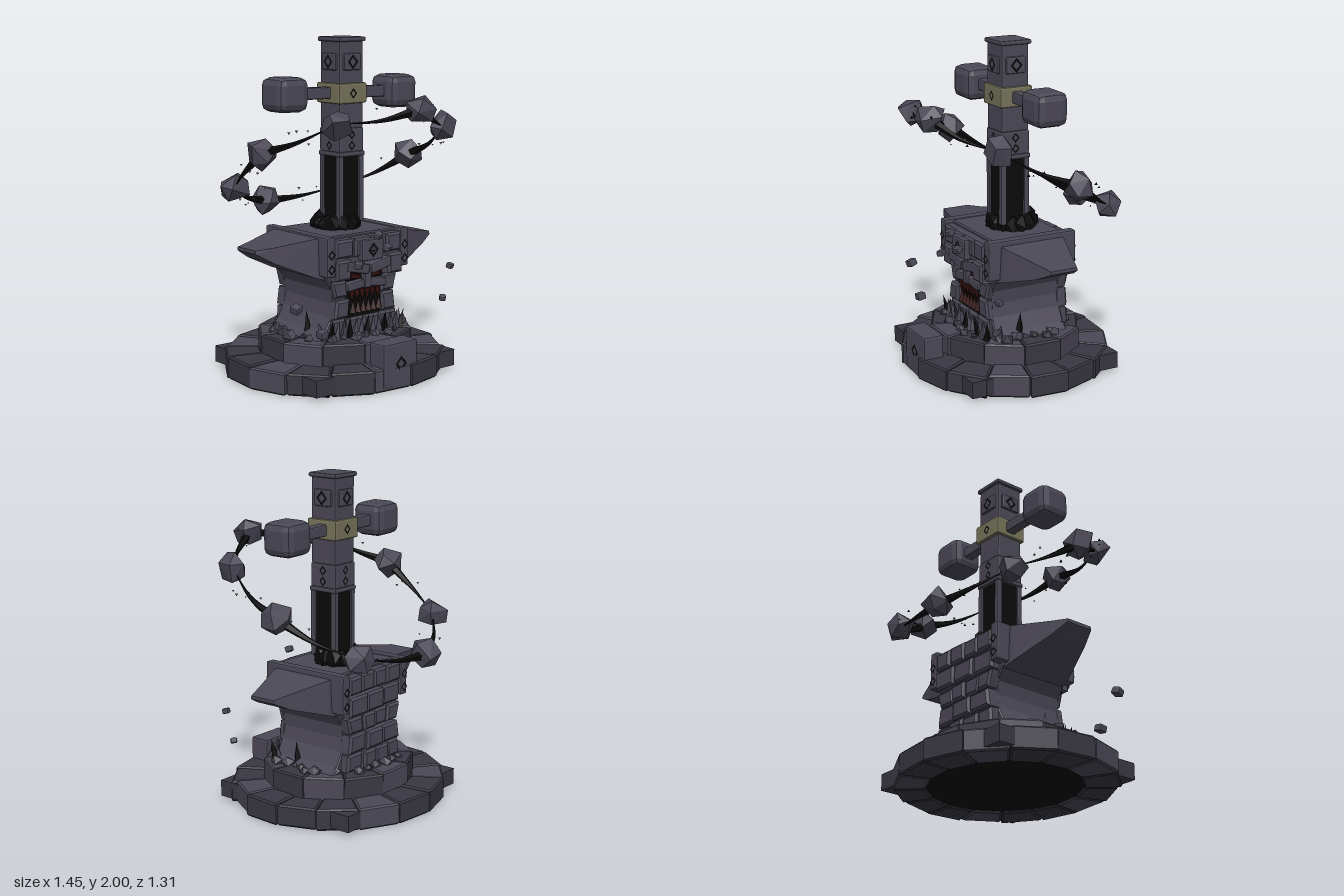
import * as THREE from 'three';
import { RoundedBoxGeometry } from 'three/addons/geometries/RoundedBoxGeometry.js';
import { ConvexGeometry } from 'three/addons/geometries/ConvexGeometry.js';

const V = (x, y, z) => new THREE.Vector3(x, y, z);
const mat = (color, side = THREE.FrontSide) => new THREE.MeshStandardMaterial({ color, side, flatShading: true });
const CX = -0.025; // anvil centre line

export function createModel() {
  const root = new THREE.Group();
  const stone = mat(0x4b4856), dark = mat(0x393742), black = mat(0x0b0b0c, THREE.DoubleSide), gold = mat(0x77745a), red = mat(0x33110f);
  let seed = 7;
  const rnd = (a = 0, b = 1) => {
    seed = (seed * 16807) % 2147483647;
    return a + (b - a) * seed / 2147483647;
  };

  const add = (name, geo, m, x = 0, y = 0, z = 0, parent = root) => {
    const mesh = new THREE.Mesh(geo, m);
    mesh.name = name;
    mesh.position.set(x, y, z);
    parent.add(mesh);
    return mesh;
  };
  const group = (name) => {
    const g = new THREE.Group();
    g.name = name;
    root.add(g);
    return g;
  };
  const box = (name, w, h, d, x, y, z, m = stone, parent = root, r = 0.01) =>
    add(name, new RoundedBoxGeometry(w, h, d, 1, r), m, x, y, z, parent);
  // bevelled polygon prism running from z = 0 to z = depth
  const prism = (pts, depth, b = 0.008) => {
    const geo = new THREE.ExtrudeGeometry(new THREE.Shape(pts.map(p => new THREE.Vector2(...p))),
      { depth: depth - 2 * b, bevelThickness: b, bevelSize: b, bevelOffset: -b, bevelSegments: 1 });
    return geo.translate(0, 0, b);
  };
  const rock = (r, n = 14) => {
    const pts = [];
    for (let i = 0; i < n; i++) {
      const y = 1 - 2 * (i + 0.5) / n, a = i * 2.4 + rnd(-0.3, 0.3), s = Math.sqrt(1 - y * y), k = r * rnd(0.88, 1.14);
      pts.push(V(Math.cos(a) * s * k, y * k, Math.sin(a) * s * k));
    }
    return new ConvexGeometry(pts);
  };
  const diamond = (s, x, y, z, turn = 0, parent = root) => {
    const shape = new THREE.Shape([[0, -s], [s * 0.9, 0], [0, s], [-s * 0.9, 0]].map(p => new THREE.Vector2(...p)));
    const k = s * 0.55;
    shape.holes.push(new THREE.Path([[0, -k], [-k * 0.9, 0], [0, k], [k * 0.9, 0]].map(p => new THREE.Vector2(...p))));
    const m = add('diamondMark', new THREE.ShapeGeometry(shape), black, x, y, z, parent);
    m.rotation.y = turn;
    return m;
  };

  // Stepped base: two rings of uneven wedge blocks over a square slab
  const base = group('base');
  const ringOf = (name, n, r0, r1, y0, y1, phase, m) => {
    for (let i = 0; i < n; i++) {
      const step = Math.PI * 2 / n, a0 = phase + i * step + 0.004, a1 = a0 + step - 0.008;
      const ra = r1 * rnd(0.97, 1.02), top = y1 - rnd(0, 0.012);
      const geo = prism([[a0, r0], [a0, ra], [a1, ra * rnd(0.98, 1.02)], [a1, r0]]
        .map(([a, r]) => [Math.cos(a) * r * 1.07, Math.sin(a) * r]), top - y0, 0.01);
      add(name, geo.rotateX(-Math.PI / 2), m[i % m.length], -0.05, y0, 0, base);
    }
  };
  ringOf('outerBaseBlock', 16, 0.44, 0.635, 0, 0.14, 0.1, [dark, dark, stone]);
  ringOf('innerBaseBlock', 12, 0.27, 0.455, 0.11, 0.26, 0.25, [stone, dark]);
  add('baseCore', new THREE.CylinderGeometry(0.42, 0.46, 0.2, 24), dark, -0.05, 0.13, 0, base);
  add('baseUnderside', new THREE.CircleGeometry(0.5, 32).rotateX(Math.PI / 2), black, -0.05, 0.012, 0, base);
  add('groundSlab', new THREE.BoxGeometry(1.07, 0.1, 0.99), dark, -0.055, 0.07, 0.005, base);
  box('frontPlinth', 0.26, 0.26, 0.13, -0.055, 0.145, 0.545, stone, base, 0.012);
  diamond(0.048, -0.055, 0.15, 0.613, 0, base);
  for (let i = 0; i < 34; i++) {
    const a = i * Math.PI * 2 / 34, r = rnd(0.32, 0.4);
    add('rubble', rock(rnd(0.02, 0.045), 9), i % 3 ? stone : dark, -0.04 + Math.cos(a) * r * 1.08, 0.265, Math.sin(a) * r * 0.9, base);
  }

  // Anvil core, a concave front profile
  const anvil = group('anvil');
  const profile = [[0.25, 0.34], [0.3, 0.285], [0.38, 0.24], [0.46, 0.225], [0.54, 0.235], [0.62, 0.285], [0.86, 0.3]];
  const halfWidth = (y) => {
    for (let i = 1; i < profile.length; i++) {
      const [y0, w0] = profile[i - 1], [y1, w1] = profile[i];
      if (y <= y1) return w0 + (w1 - w0) * (y - y0) / (y1 - y0);
    }
    return 0.3;
  };
  const outline = [...profile.map(([y, w]) => [CX + w, y]), ...profile.slice().reverse().map(([y, w]) => [CX - w, y])];
  add('anvilCore', prism(outline, 0.47), stone, 0, 0, -0.235, anvil);

  // Large stone courses on the front and back, leaving the face open
  const courses = [0.26, 0.37, 0.49, 0.6, 0.73, 0.85];
  for (const front of [true, false]) for (let j = 0; j < 5; j++) {
    const n = j % 2 ? 3 : 4, shift = rnd(-0.06, 0.06);
    for (let i = 0; i < n; i++) {
      const edge = (k) => k === 0 ? -1 : k === n ? 1 : -1 + 2 * k / n + shift;
      let u0 = edge(i), u1 = edge(i + 1);
      if (front && j > 0 && j < 4) {
        if (i !== 0 && i !== n - 1) continue;
        [u0, u1] = i === 0 ? [-1, -0.56] : [0.56, 1];
      }
      const y0 = courses[j] + 0.003, y1 = courses[j + 1] - 0.003 - rnd(0, 0.008);
      const at = (u, y) => [CX + u * Math.min(halfWidth(y), 0.255) + (u < 0 ? 0.003 : -0.003), y];
      const depth = (front && j < 3 ? 0.055 : 0.09) + rnd(-0.012, 0.012);
      add(front ? 'frontBrick' : 'backBrick', prism([at(u0, y0), at(u1, y0), at(u1, y1), at(u0, y1)], depth, 0.014),
        stone, 0, 0, front ? 0.21 : -0.21 - depth, anvil);
    }
  }

  // Shoulder bands with their marks, and the two horns
  for (const x of [-0.308, 0.257]) {
    box('shoulderBand', 0.062, 0.235, 0.59, x, 0.75, -0.005, stone, anvil);
    for (const y of [0.765, 0.68]) for (const s of [1, -1]) diamond(0.032, x, y, -0.005 + s * 0.298, 0, anvil);
  }
  const horn = (name, sections) => {
    const geo = new THREE.BoxGeometry(2, 2, 2, 3, 1, 1), p = geo.attributes.position;
    for (let i = 0; i < p.count; i++) {
      const [x, lo, hi, half] = sections[Math.round((p.getX(i) + 1) * 1.5)];
      const up = p.getY(i) > 0;
      p.setXYZ(i, x, up ? hi : lo, p.getZ(i) * half * (up ? 0.95 : 1));
    }
    add(name, geo, stone, 0, 0, 0, anvil);
  };
  // each section: x, underside, top, half depth
  horn('leftHorn', [[0.2, 0.59, 0.845, 0.225], [0.31, 0.625, 0.835, 0.215], [0.55, 0.7, 0.79, 0.125], [0.65, 0.75, 0.77, 0.09]]);
  horn('rightHorn', [[-0.7, 0.79, 0.81, 0.09], [-0.6, 0.73, 0.82, 0.13], [-0.36, 0.625, 0.855, 0.215], [-0.25, 0.59, 0.86, 0.225]]);

  // Face: plaque, brows, narrow eyes, nose and jagged mouth
  const face = group('face');
  box('foreheadPlaque', 0.165, 0.125, 0.05, CX, 0.77, 0.305, stone, face);
  diamond(0.045, CX, 0.77, 0.332, 0, face);
  add('foreheadGem', new THREE.OctahedronGeometry(0.014), black, CX, 0.77, 0.33, face);
  for (const s of [-1, 1]) {
    box('brow', 0.17, 0.06, 0.09, CX + s * 0.09, 0.668, 0.265, stone, face).rotation.z = s * 0.22;
    box('eyeSocket', 0.13, 0.06, 0.03, CX + s * 0.085, 0.612, 0.23, black, face);
    add('eye', prism([[0.03, 0], [0.11, 0.005], [0.12, 0.045], [0.035, 0.022]].map(([x, y]) => [s * x, y]), 0.03, 0.004),
      red, CX, 0.592, 0.235, face);
    box('cheek', 0.13, 0.05, 0.06, CX + s * 0.085, 0.558, 0.25, stone, face).rotation.z = -s * 0.12;
  }
  box('nose', 0.05, 0.1, 0.07, CX, 0.585, 0.255, stone, face);
  box('mouthHollow', 0.27, 0.23, 0.03, CX, 0.425, 0.23, black, face);
  for (let i = 0; i < 6; i++) for (const s of [-1, 1]) {
    const t = add('redTooth', new THREE.ConeGeometry(0.026, 0.075, 4), red, CX - 0.1 + i * 0.04 + (s > 0 ? 0.008 : 0), 0.462 - s * 0.032, 0.255, face);
    t.rotation.z = s > 0 ? 0 : Math.PI;
  }

  // Spikes bristling round the foot of the anvil
  for (let i = 0; i < 13; i++) {
    const sp = add('frontSpike', new THREE.ConeGeometry(0.026, rnd(0.09, 0.15), 4), i % 3 ? stone : black, CX - 0.27 + i * 0.045, 0.315, 0.28, face);
    sp.rotation.set(0.1, rnd(0, 1), rnd(-0.25, 0.25));
  }
  for (const s of [-1, 1]) {
    add('sideSpike', new THREE.ConeGeometry(0.03, 0.14, 4), black, CX + s * 0.29, 0.335, 0.07, face).rotation.z = -s * 0.1;
    add('sideStone', new THREE.ConeGeometry(0.035, 0.12, 4), stone, CX + s * 0.3, 0.3, 0.21, face).rotation.z = -s * 0.25;
  }

  // Square pillar rising from dark rubble
  const pillar = group('pillar');
  pillar.position.set(0.003, 0, 0.005);
  const block = (name, w, y0, y1, m = stone) => box(name, w, y1 - y0, w, 0, (y0 + y1) / 2, 0, m, pillar);
  block('pillarCap', 0.206, 1.972, 2);
  block('pillarTop', 0.18, 1.72, 1.98);
  block('goldCollar', 0.214, 1.61, 1.73, gold);
  block('pillarMiddle', 0.18, 1.46, 1.62);
  block('pillarMarkedBlock', 0.188, 1.32, 1.465);
  block('pillarLip', 0.2, 1.295, 1.325);
  block('pillarDarkShaft', 0.165, 0.84, 1.3, black);
  for (const x of [-1, 1]) for (const z of [-1, 1]) box('pillarEdge', 0.035, 0.4, 0.035, x * 0.077, 1.1, z * 0.077, stone, pillar, 0.006);
  box('sidePlates', 0.206, 0.1, 0.13, 0, 1.855, 0, stone, pillar);
  box('facePlates', 0.13, 0.1, 0.206, 0, 1.855, 0, stone, pillar);
  for (let k = 0; k < 4; k++) {
    const a = k * Math.PI / 2;
    for (const [s, y, d] of [[0.045, 1.855, 0.105], [0.032, 1.67, 0.109], [0.03, 1.425, 0.0955], [0.03, 1.36, 0.0955]])
      diamond(s, Math.sin(a) * d, y, Math.cos(a) * d, a, pillar);
  }
  for (let i = 0; i < 13; i++) {
    const a = i * Math.PI * 2 / 13;
    const r = add('blackRubble', rock(rnd(0.045, 0.062), 10), black, -0.015 + Math.cos(a) * 0.115, 0.89, -0.03 + Math.sin(a) * 0.105, pillar);
    r.scale.y = rnd(1, 1.9);
  }

  // Crossbar with a chamfered hammer head at each end
  const crossbar = group('crossbar');
  crossbar.position.set(0, 1.67, 0);
  crossbar.rotation.z = -0.02;
  box('bar', 0.8, 0.07, 0.065, 0, 0, 0, stone, crossbar);
  for (const s of [-1, 1]) box('hammerHead', 0.215, 0.2, 0.208, s * 0.42, 0, 0.002, stone, crossbar, 0.045);

  // Tilted halo of floating rocks joined by tapering wisps
  const halo = group('halo');
  const spots = [[-0.64, 1.36, 0.07], [-0.39, 1.54, 0.44], [0.11, 1.6, 0.57], [0.51, 1.46, 0.34],
    [0.63, 1.24, -0.1], [0.37, 1.02, -0.47], [-0.14, 0.96, -0.57], [-0.53, 1.11, -0.35]].map(p => V(...p));
  spots.forEach((p, i) => {
    const r = add('floatingRock', rock(0.094, 11), stone, p.x, p.y, p.z, halo);
    r.rotation.set(rnd(0, 3), rnd(0, 3), 0);
    const q = spots[(i + 1) % spots.length], mid = p.clone().lerp(q, 0.5);
    mid.x *= 1.05; mid.z *= 1.05; mid.y -= 0.02;
    const curve = new THREE.CatmullRomCurve3([p, mid, q]);
    const geo = new THREE.TubeGeometry(curve, 18, 0.032, 5), pos = geo.attributes.position, v = V();
    for (let k = 0; k < pos.count; k++) {
      const t = Math.floor(k / 6) / 18, c = curve.getPointAt(t);
      const w = 0.08 + 0.92 * Math.pow(i % 2 ? t : 1 - t, 1.6);
      v.fromBufferAttribute(pos, k).sub(c).multiplyScalar(w).add(c);
      pos.setXYZ(k, v.x, v.y, v.z);
    }
    add('wisp', geo, black, 0, 0, 0, halo);
    for (let k = 0; k < 5; k++) {
      const c = curve.getPoint(rnd(0.1, 0.9));
      add('blackChip', new THREE.TetrahedronGeometry(rnd(0.006, 0.012)), black, c.x + rnd(-0.05, 0.05), c.y + rnd(-0.05, 0.08), c.z + rnd(-0.05, 0.05), halo);
    }
  });

  // Loose pebbles hovering in front of the anvil
  for (const [x, y, z, s] of [[-0.62, 0.51, 0.36, 0.055], [-0.45, 0.34, 0.38, 0.055], [0.56, 0.605, 0.37, 0.04], [0.51, 0.41, 0.36, 0.04],
    [-0.03, 0.865, 0.38, 0.045], [0.05, 0.78, 0.37, 0.045], [-0.17, 0.7, 0.37, 0.045]]) {
    box('hoveringPebble', s, s * 0.8, s, x, y, z, stone, root, 0.008).rotation.set(rnd(0, 0.5), rnd(0, 1), rnd(0, 0.3));
  }
  return root;
}
